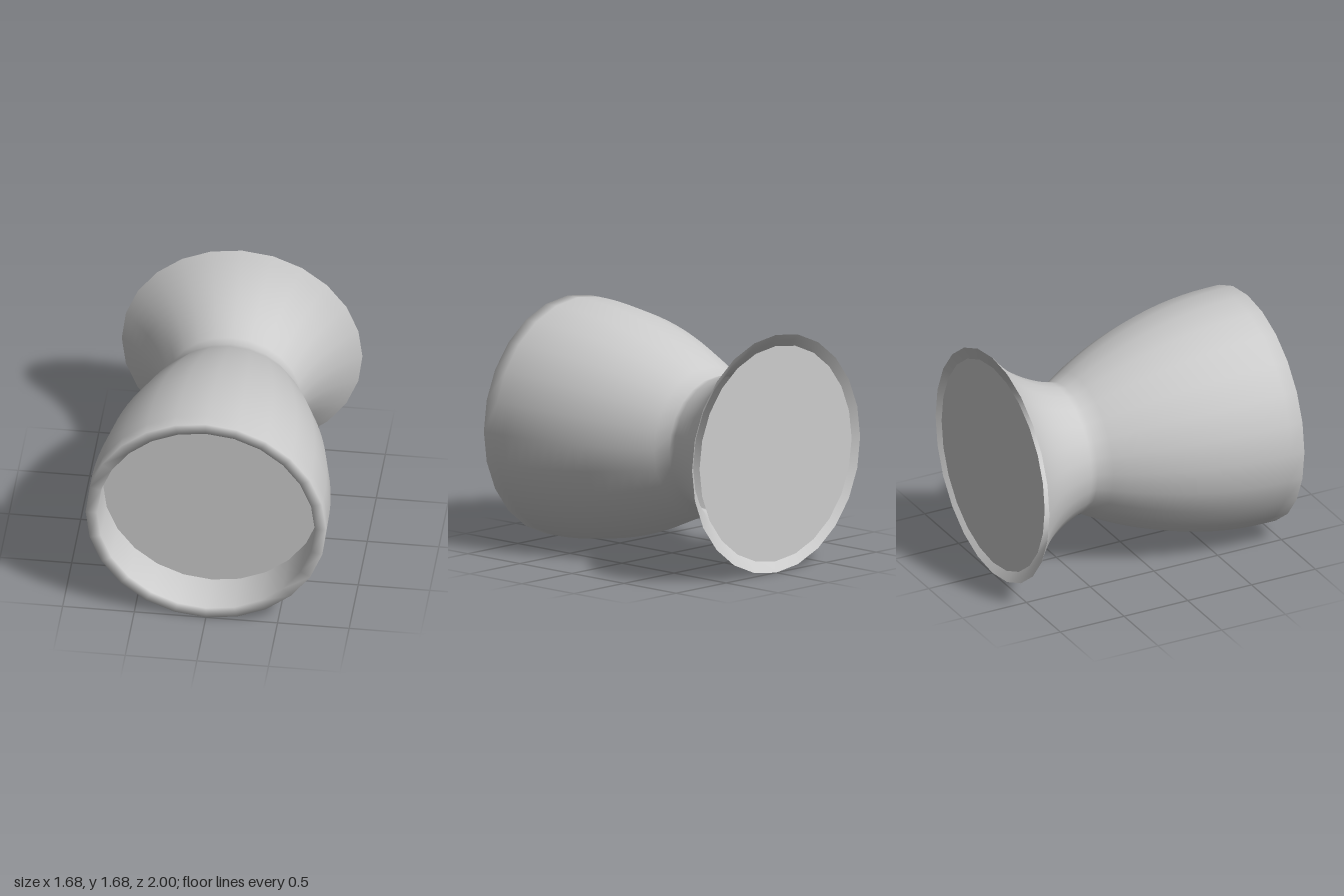
import * as THREE from 'three';

const SIDES = 24;
const RIM = 0.84;      // radius of both open ends
const LENS = 0.76;     // radius of both discs
const NECK_Z = -0.42;

export function createModel() {
  const group = new THREE.Group();
  group.name = 'loupe';
  const material = new THREE.MeshStandardMaterial({ color: 0xcccccc, side: THREE.DoubleSide });

  // Profile as (radius, z), from the back edge to the front lip and into the recess
  const flare = new THREE.QuadraticBezierCurve(
    new THREE.Vector2(RIM, -1),
    new THREE.Vector2(0.53, -0.76),
    new THREE.Vector2(0.465, NECK_Z)
  );
  const profile = flare.getPoints(12);
  for (let i = 1; i <= 14; i++) {
    const z = NECK_Z + (0.9 - NECK_Z) * (i / 14);
    profile.push(new THREE.Vector2(RIM - 0.215 * (0.9 - z) ** 2, z));
  }
  profile.push(
    new THREE.Vector2(RIM, 1),
    new THREE.Vector2(LENS, 1),
    new THREE.Vector2(LENS, 0.67)
  );

  const body = new THREE.Mesh(new THREE.LatheGeometry(profile, SIDES).rotateX(Math.PI / 2), material);
  body.name = 'body';
  group.add(body);

  // Flat discs: one deep in the front recess, one level with the back edge
  function addLens(name, z, turn) {
    const lens = new THREE.Mesh(new THREE.CircleGeometry(LENS, SIDES).rotateY(turn), material);
    lens.name = name;
    lens.position.z = z;
    group.add(lens);
  }
  addLens('frontLens', 0.67, 0);
  addLens('eyeLens', -0.995, Math.PI);

  // Lift so the widest rings rest on the floor
  group.children.forEach((part) => { part.position.y = RIM; });
  return group;
}
